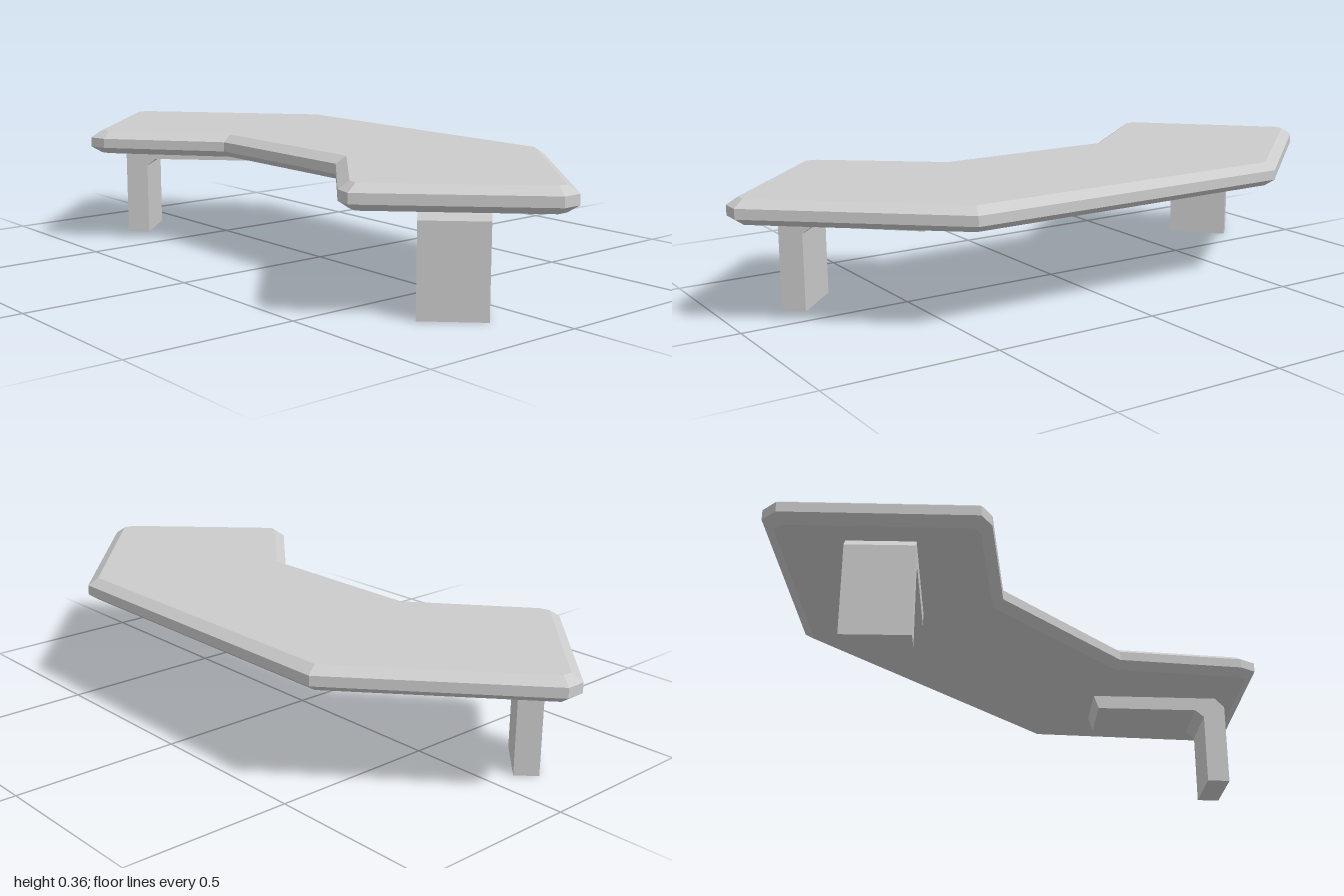
import * as THREE from 'three';

const shapeFrom = (points) => new THREE.Shape(points.map(([x, y]) => new THREE.Vector2(x, y)));

export function createModel() {
  const model = new THREE.Group();
  model.name = 'angledBench';
  const material = new THREE.MeshStandardMaterial({ color: 0xcccccc, flatShading: true });

  // Bevelled top: half of the plan (x, z), mirrored across z = 0
  const half = [[0.43, 0.515], [0.003, 1], [-0.055, 1], [-0.43, 0.63], [-0.416, 0.575], [-0.165, 0.27]];
  const plan = [...half, ...half.map(([x, z]) => [x, -z]).reverse()];
  const topGeometry = new THREE.ExtrudeGeometry(shapeFrom(plan), {
    depth: 0.029, bevelThickness: 0.021, bevelSize: 0.03, bevelOffset: -0.03, bevelSegments: 1,
  });
  topGeometry.rotateX(-Math.PI / 2).translate(0, 0.313, 0);
  const top = new THREE.Mesh(topGeometry, material);
  top.name = 'top';
  model.add(top);

  // Leg with support arm: side profile with chamfered elbow, extruded to its width
  const legGeometry = new THREE.ExtrudeGeometry(shapeFrom([
    [0, 0], [0.07, 0], [0.07, 0.225], [0.098, 0.248], [0.42, 0.248],
    [0.435, 0.292], [0.03, 0.292], [0, 0.262],
  ]), { depth: 0.187, bevelEnabled: false });

  // One leg under each wing, turned to point inward
  const addLeg = (name, x, z, angle) => {
    const leg = new THREE.Mesh(legGeometry, material);
    leg.name = name;
    leg.position.set(x, 0, z);
    leg.rotation.y = angle;
    model.add(leg);
  };
  addLeg('frontLeg', -0.26, 0.7, 0.8);
  addLeg('backLeg', -0.126, -0.83, -0.8);

  return model;
}
